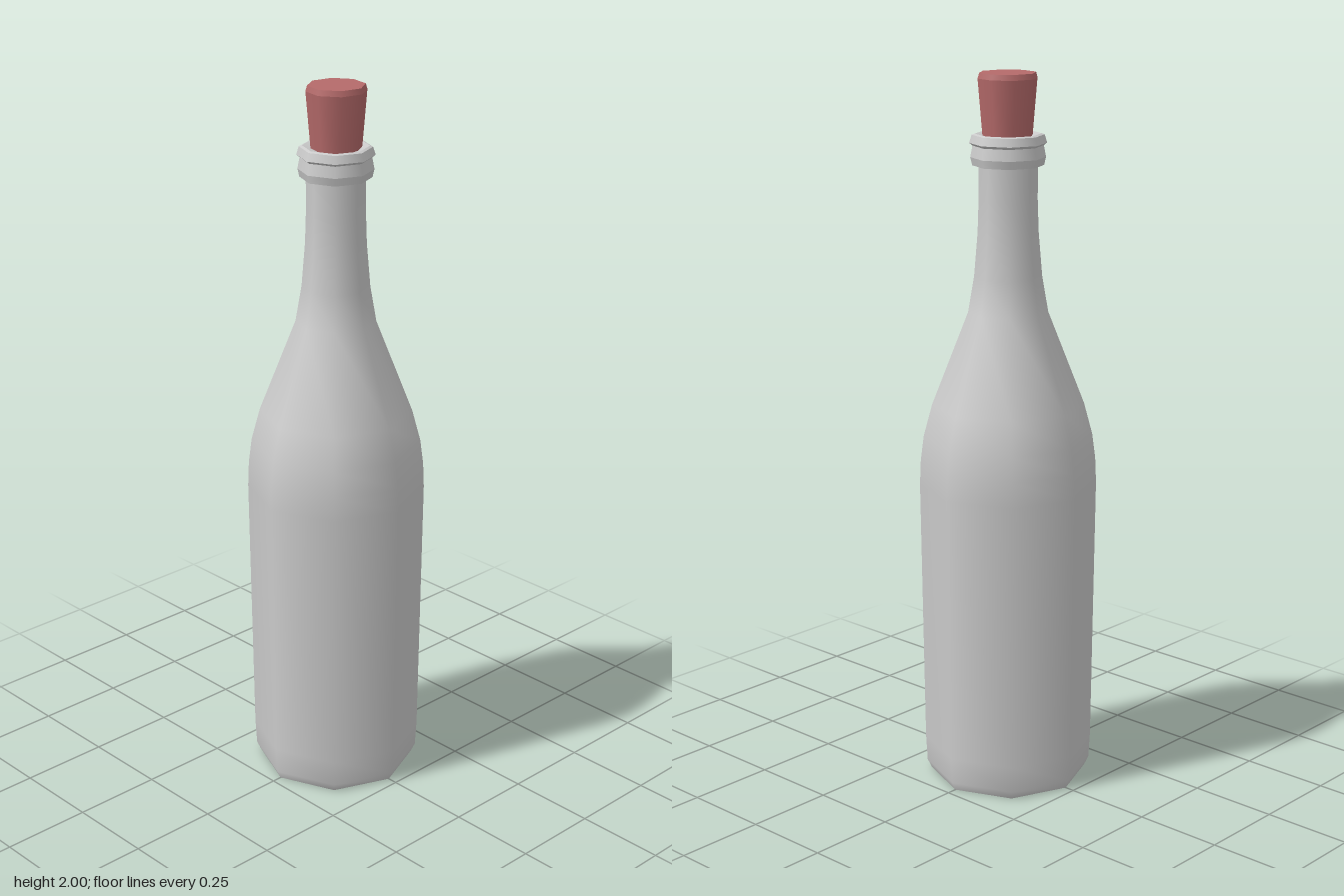
import * as THREE from 'three';

const SIDES = 8;

// Smooth eight-sided turned surface; profile is [radius, height] from bottom to top
function turned(name, profile, material, phi = 0) {
  const points = profile.map(([r, y]) => new THREE.Vector2(r, y));
  const mesh = new THREE.Mesh(new THREE.LatheGeometry(points, SIDES, phi), material);
  mesh.name = name;
  return mesh;
}

export function createModel() {
  const glass = new THREE.MeshStandardMaterial({ color: 0xcccccc });
  const corkMaterial = new THREE.MeshStandardMaterial({ color: 0xb56a6a });
  const model = new THREE.Group();
  model.name = 'corkedBottle';

  // Bottle: flat base, body with sloping shoulder and neck
  const bottle = new THREE.Group();
  bottle.name = 'bottle';
  bottle.add(
    turned('base', [[0, 0], [0.222, 0]], glass),
    turned('body', [
      [0.222, 0], [0.234, 0.025], [0.238, 0.1], [0.247, 0.86], [0.244, 0.93], [0.235, 1.0],
      [0.211, 1.09], [0.11, 1.35], [0.093, 1.45], [0.083, 1.57], [0.08, 1.66], [0.08, 1.76],
    ], glass),
  );

  // Double collar: hard-edged bands around the mouth
  const collar = [[0.08, 1.753], [0.097, 1.753], [0.102, 1.775], [0.096, 1.806], [0.105, 1.813], [0.098, 1.835], [0.09, 1.838], [0.066, 1.832], [0.06, 1.76]];
  for (let i = 0; i < collar.length - 1; i++) {
    bottle.add(turned('collarBand' + (i + 1), [collar[i], collar[i + 1]], glass));
  }

  // Tapered cork, turned slightly in the mouth
  const cork = new THREE.Group();
  cork.name = 'cork';
  const twist = 0.19;
  cork.add(
    turned('corkBottom', [[0, 1.76], [0.062, 1.76]], corkMaterial, twist),
    turned('corkSide', [[0.062, 1.76], [0.069, 1.83], [0.082, 1.985]], corkMaterial, twist),
    turned('corkBevel', [[0.082, 1.985], [0.078, 2]], corkMaterial, twist),
    turned('corkTop', [[0.078, 2], [0, 2]], corkMaterial, twist),
  );
  cork.position.set(0.001, 0, -0.001);

  model.add(bottle, cork);
  return model;
}
